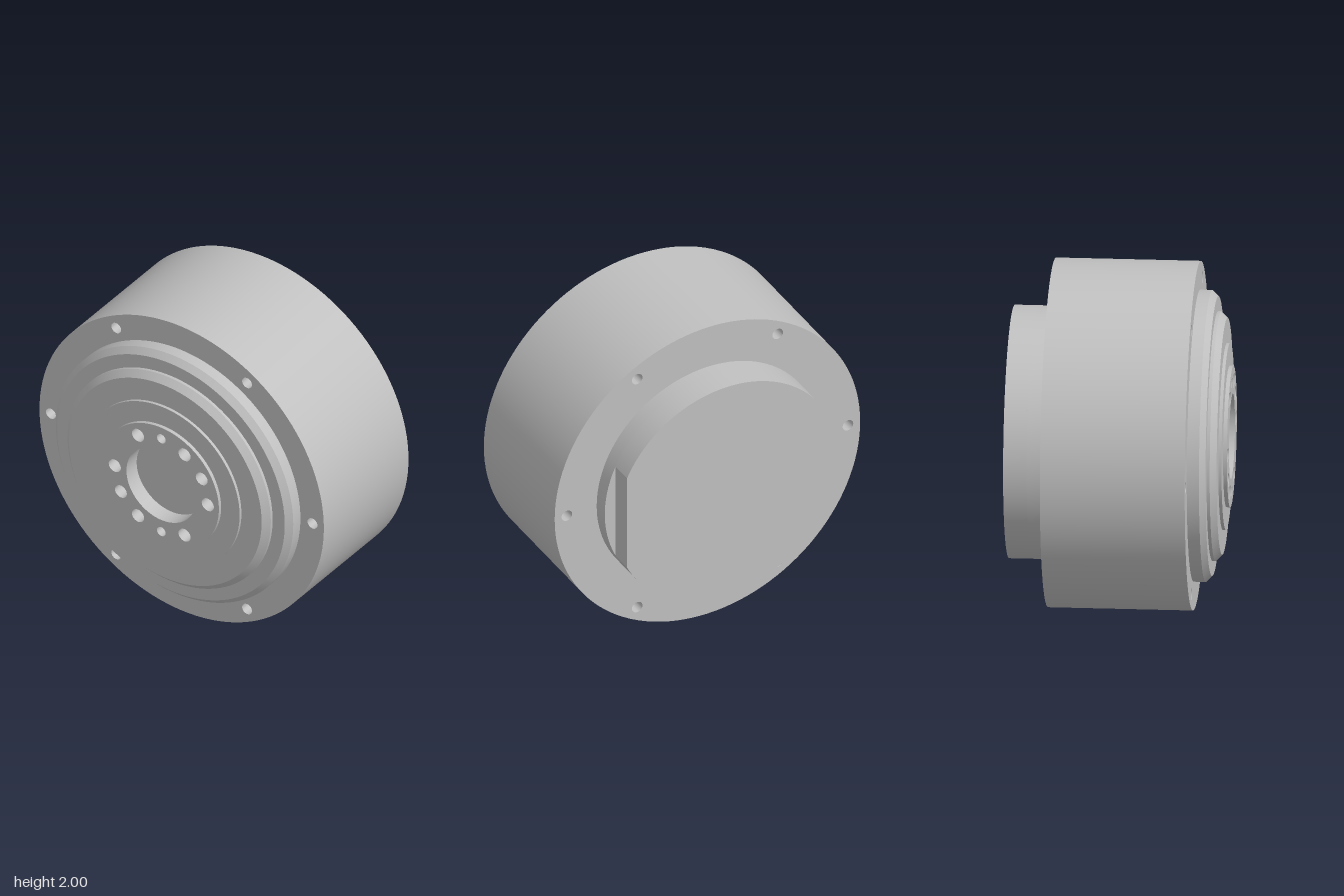
import * as THREE from 'three';
import { toCreasedNormals } from 'three/addons/utils/BufferGeometryUtils.js';

const SEG = 120, HOLE_SEG = 24;

export function createModel() {
  const model = new THREE.Group();
  model.name = 'roundGearUnit';
  const unit = new THREE.Group();
  unit.name = 'unit';
  unit.position.y = 1;
  model.add(unit);

  const grey = new THREE.MeshStandardMaterial({ color: 0xc0c0c0 });
  grey.name = 'machinedGrey';

  const add = (name, geometry, x = 0, y = 0, z = 0) => {
    const mesh = new THREE.Mesh(geometry, grey);
    mesh.name = name;
    mesh.position.set(x, y, z);
    unit.add(mesh);
    return mesh;
  };

  // Turned surface about the z axis; points are [radius, z]
  const turned = (points, segments = SEG) => {
    const g = new THREE.LatheGeometry(points.map(p => new THREE.Vector2(...p)), segments);
    g.rotateX(Math.PI / 2);
    return toCreasedNormals(g, 0.5);
  };

  const circle = (r, n, x = 0, y = 0) => Array.from({ length: n }, (_, i) => {
    const a = i / n * Math.PI * 2;
    return new THREE.Vector2(x + r * Math.cos(a), y + r * Math.sin(a));
  });

  // Flat ring pierced by small holes {x, y, r}
  const ring = (outer, inner, holes) => {
    const shape = new THREE.Shape(circle(outer, SEG));
    shape.holes.push(new THREE.Path(circle(inner, SEG)));
    holes.forEach(h => shape.holes.push(new THREE.Path(circle(h.r, HOLE_SEG, h.x, h.y))));
    return new THREE.ShapeGeometry(shape);
  };

  // Blind hole going in from the surface, with a flat or drilled bottom
  const blind = h => turned([[h.r, 0], [h.r, -h.depth], [0, -h.depth - h.r * h.tip]], HOLE_SEG);

  const sixHoles = (radius, r, depth) => Array.from({ length: 6 }, (_, i) => {
    const a = i * Math.PI / 3;
    return { x: radius * Math.cos(a), y: radius * Math.sin(a), r, depth, tip: 0.6 };
  });

  // Housing
  const flangeHoles = sixHoles(0.92, 0.035, 0.12);
  add('housingWall', turned([[1, -0.4], [1, 0.43]]));
  add('frontFlange', ring(1, 0.835, flangeHoles), 0, 0, 0.43);
  add('backFlange', ring(1, 0.725, flangeHoles), 0, 0, -0.4).rotation.y = Math.PI;
  flangeHoles.forEach(h => {
    add('frontFlangeHole', blind(h), h.x, h.y, 0.43);
    add('backFlangeHole', blind(h), h.x, h.y, -0.4).rotation.y = Math.PI;
  });

  // Stepped and chamfered front
  add('frontSteps', turned([
    [0.835, 0.43], [0.835, 0.5], [0.8, 0.535], [0.715, 0.535], [0.715, 0.553], [0.677, 0.59],
    [0.535, 0.59], [0.535, 0.608], [0.405, 0.608], [0.405, 0.63],
  ]));

  // Output hub: screw holes, dowel holes and central recess
  const hubHoles = sixHoles(0.327, 0.043, 0.1);
  for (const s of [1, -1]) {
    hubHoles.push({ x: 0, y: 0.327 * s, r: 0.031, depth: 0.08, tip: 0 });
    hubHoles.push({ x: 0.284 * s, y: 0.164 * s, r: 0.042, depth: 0.08, tip: 0 });
  }
  add('hubFace', ring(0.405, 0.245, hubHoles), 0, 0, 0.63);
  hubHoles.forEach(h => add('hubHole', blind(h), h.x, h.y, 0.63));
  add('centralRecess', turned([[0.245, 0.63], [0.245, 0.53], [0, 0.53]]));

  // Rear boss: round base, then a section with one flat on the left
  add('rearBossBase', turned([[0, -0.495], [0.725, -0.495], [0.725, -0.4]]));
  const a = Math.acos(0.655 / 0.725);
  const flatted = new THREE.Shape();
  flatted.absarc(0, 0, 0.725, a, Math.PI * 2 - a, false);
  flatted.closePath();
  const boss = new THREE.ExtrudeGeometry(flatted, { depth: 0.135, bevelEnabled: false, curveSegments: SEG });
  add('rearBossFlatted', toCreasedNormals(boss, 0.3), 0, 0, -0.63);

  return model;
}
